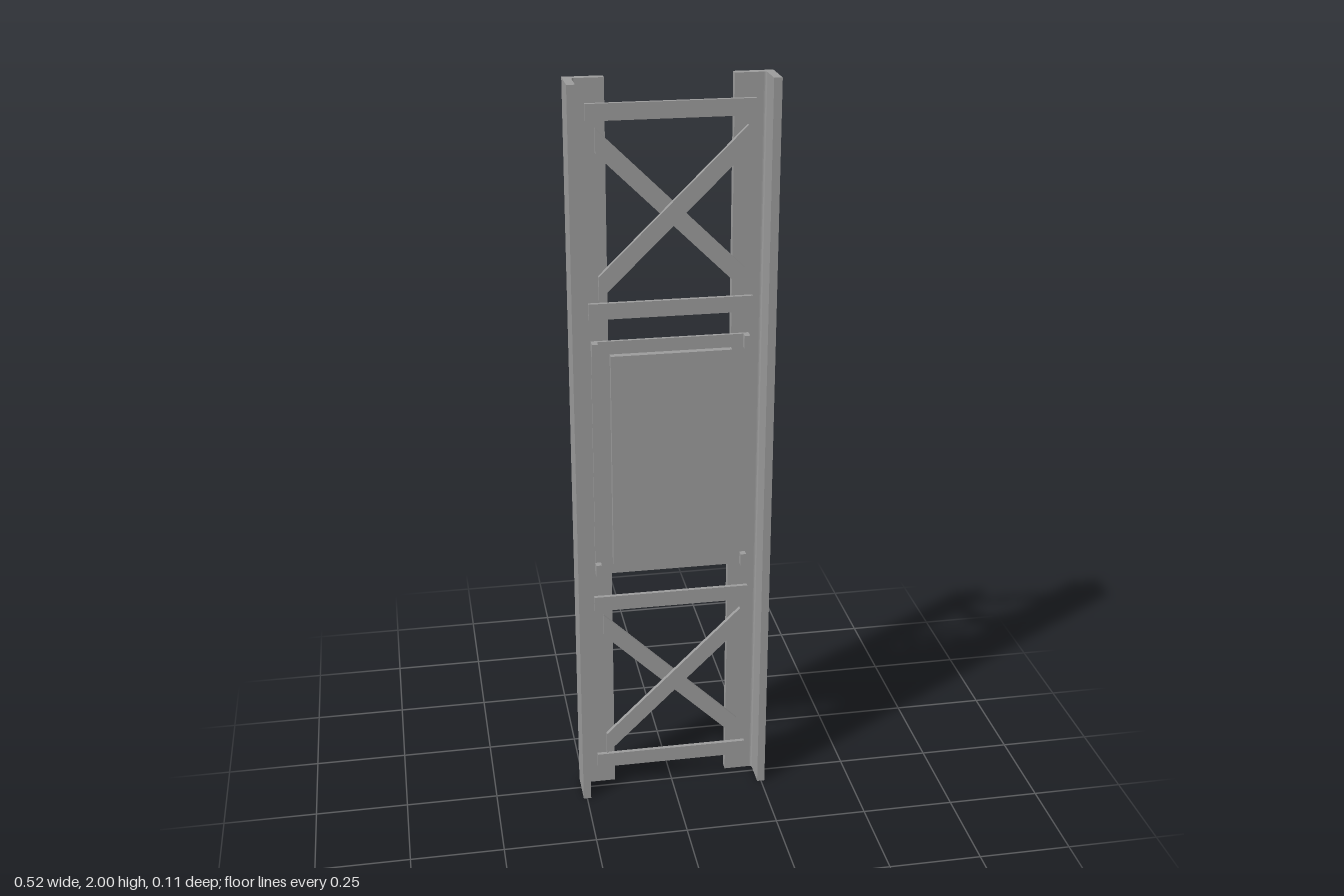
import * as THREE from 'three';

const material = new THREE.MeshStandardMaterial({ color: 0x9c9c9c });

export function createModel() {
  const model = new THREE.Group();

  const add = (name, geometry) => {
    const mesh = new THREE.Mesh(geometry, material);
    mesh.name = name;
    model.add(mesh);
    return mesh;
  };

  // Box given by its limits on each axis
  const box = (name, x0, x1, y0, y1, z0, z1) =>
    add(name, new THREE.BoxGeometry(x1 - x0, y1 - y0, z1 - z0))
      .position.set((x0 + x1) / 2, (y0 + y1) / 2, (z0 + z1) / 2);

  // Flat outline extruded from z0 to z1
  const plate = (name, shape, z0, z1) => {
    const geometry = new THREE.ExtrudeGeometry(shape, { depth: z1 - z0, bevelEnabled: false });
    add(name, geometry.translate(0, 0, z0));
  };

  // L-section uprights with a small fillet in the inner corner
  const angleIron = (side, name) => {
    const s = new THREE.Shape();
    s.moveTo(side * 0.26, 0.045);
    s.lineTo(side * 0.16, 0.045);
    s.lineTo(side * 0.16, 0.023);
    s.lineTo(side * 0.232, 0.023);
    s.quadraticCurveTo(side * 0.239, 0.023, side * 0.239, 0.016);
    s.lineTo(side * 0.239, -0.055);
    s.lineTo(side * 0.26, -0.055);
    s.closePath();
    const geometry = new THREE.ExtrudeGeometry(s, { depth: 2, bevelEnabled: false, curveSegments: 5 });
    add(name, geometry.rotateX(-Math.PI / 2));
  };
  angleIron(1, 'leftAngleIron');
  angleIron(-1, 'rightAngleIron');

  // Horizontal bars
  const barHeights = [0.083, 0.585, 1.418, 1.921];
  for (const y of barHeights) box('crossBar', -0.211, 0.211, y - 0.021, y + 0.021, -0.011, 0);

  // Crossed braces, cut off vertically at both ends
  const brace = (y, dir, z0, z1) => {
    const w = 0.187, rise = 0.183 * dir, h = 0.031;
    const s = new THREE.Shape([
      new THREE.Vector2(-w, y - rise - h),
      new THREE.Vector2(w, y + rise - h),
      new THREE.Vector2(w, y + rise + h),
      new THREE.Vector2(-w, y - rise + h),
    ]);
    plate('diagonalBrace', s, z0, z1);
  };
  for (const y of [0.335, 1.668]) {
    brace(y, 1, 0.01, 0.022);
    brace(y, -1, -0.011, 0);
  }

  // Middle panel: flanged rim with a raised face, hollow at the back
  const rectangle = (Type, w, y0, y1) => new Type([
    new THREE.Vector2(-w, y0), new THREE.Vector2(w, y0),
    new THREE.Vector2(w, y1), new THREE.Vector2(-w, y1),
  ]);
  const rim = rectangle(THREE.Shape, 0.205, 0.67, 1.333);
  rim.holes.push(rectangle(THREE.Path, 0.152, 0.713, 1.292));
  plate('panelRim', rim, -0.023, -0.014);
  const wall = rectangle(THREE.Shape, 0.158, 0.707, 1.298);
  wall.holes.push(rectangle(THREE.Path, 0.152, 0.713, 1.292));
  plate('panelWall', wall, -0.014, -0.001);
  box('panelFace', -0.158, 0.158, 0.707, 1.298, -0.001, 0.0045);

  // Small corner tabs on the rim
  for (const side of [-1, 1]) {
    for (const y of [0.67, 1.298]) {
      const a = side * 0.205, b = side * 0.19;
      box('panelCornerTab', Math.min(a, b), Math.max(a, b), y, y + 0.035, -0.014, 0.0045);
    }
  }

  // Domed rivet heads on the back of the uprights
  const dome = new THREE.SphereGeometry(1, 16, 6, 0, Math.PI * 2, 0, Math.PI / 2).rotateX(-Math.PI / 2);
  const rivet = (name, x, y, radius, height) => {
    const mesh = add(name, dome);
    mesh.position.set(x, y, -0.045);
    mesh.scale.set(radius, radius, height);
  };
  for (const side of [-1, 1]) {
    barHeights.forEach((y, i) => {
      rivet('barRivet', side * 0.194, y, 0.02, 0.011);
      rivet('braceRivet', side * 0.226, y + (i % 2 ? -0.041 : 0.041), 0.02, 0.011);
    });
    for (let i = 0; i < 11; i++) rivet('panelRivet', side * 0.18, 0.7 + i * 0.06, 0.011, 0.007);
  }

  return model;
}
